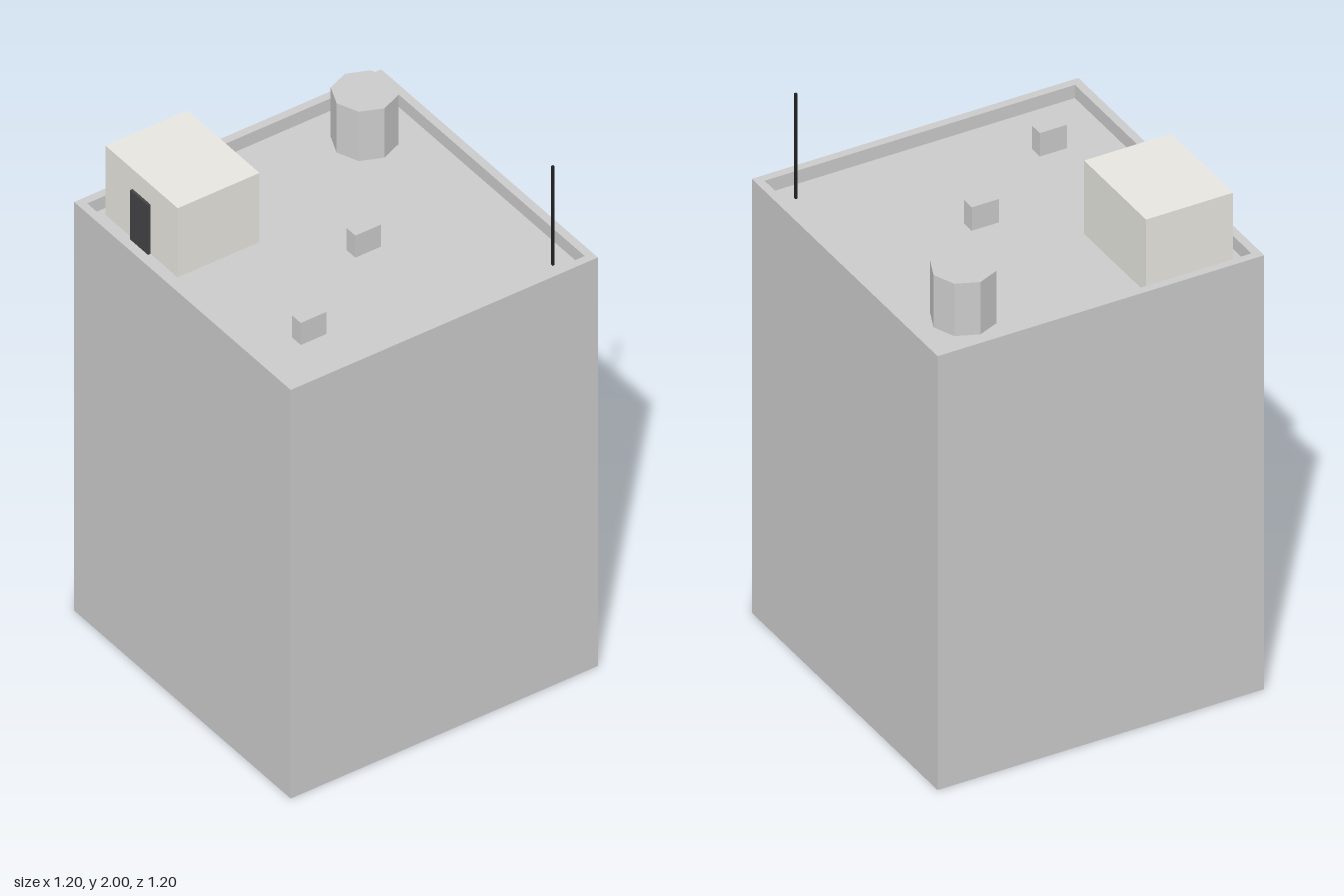
import * as THREE from 'three';

const ROOF = 1.6;     // roof deck height
const PARAPET = 1.65; // top of the parapet

function material(color, extra = {}) {
  return new THREE.MeshStandardMaterial({ color, flatShading: true, ...extra });
}

export function createModel() {
  const model = new THREE.Group();
  model.name = 'building';
  const grey = material(0xcccccc);
  const plaster = material(0xe8e7e0);
  const dark = material(0x444448);
  const black = material(0x222222);

  const add = (name, geometry, mat, x, y, z) => {
    const mesh = new THREE.Mesh(geometry, mat);
    mesh.name = name;
    mesh.position.set(x, y, z);
    model.add(mesh);
    return mesh;
  };
  // Box standing just above the roof deck
  const roofBox = (name, mat, w, top, d, x, z) => {
    const base = ROOF + 0.001;
    return add(name, new THREE.BoxGeometry(w, top - base, d), mat, x, (top + base) / 2, z);
  };

  // Walls, parapet and roof deck: one square profile, open underneath
  const profile = [[0.6, 0], [0.6, PARAPET], [0.57, PARAPET], [0.57, ROOF], [0, ROOF]]
    .map(([r, y]) => new THREE.Vector2(r * Math.SQRT2, y));
  const shell = new THREE.LatheGeometry(profile, 4, Math.PI / 4).toNonIndexed();
  shell.computeVertexNormals();
  add('wallsAndRoof', shell, material(0xcccccc, { side: THREE.DoubleSide }), 0, 0, 0);

  // Stair house with its door
  roofBox('stairHouse', plaster, 0.32, 1.88, 0.4, -0.36, -0.34);
  roofBox('stairHouseDoor', dark, 0.01, 1.8, 0.1, -0.525, -0.34);

  // Eight-sided water tank
  add('waterTank', new THREE.CylinderGeometry(0.11, 0.11, 0.199, 8), grey, 0.38, 1.7005, -0.38);

  // Roof vents
  for (const [x, z] of [[0.053, 0.078], [-0.352, 0.35]]) {
    roofBox('roofVent', grey, 0.1, 1.69, 0.05, x, z);
  }

  // Antenna mast
  roofBox('antenna', black, 0.008, 2, 0.008, 0.497, 0.497);

  return model;
}
